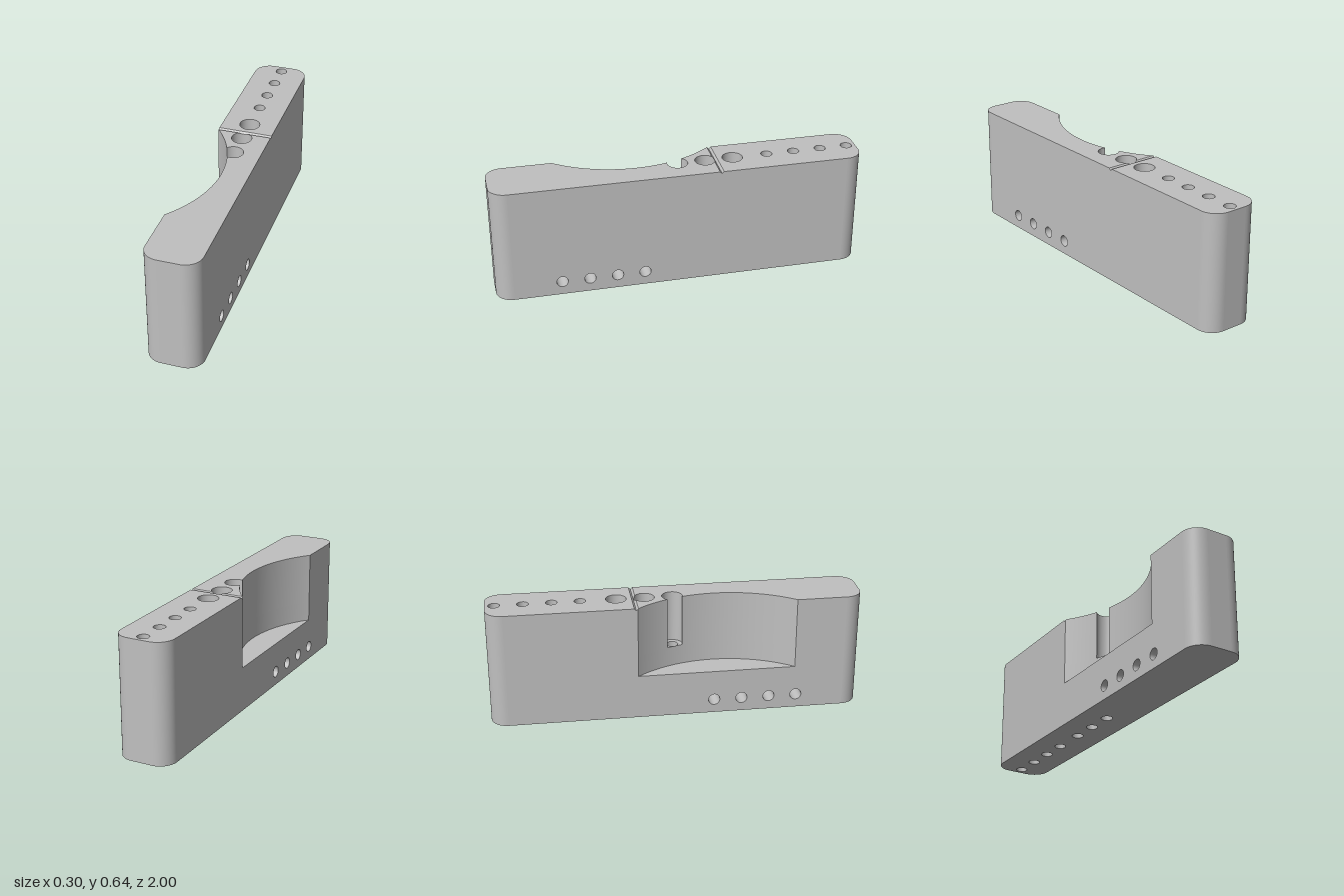
import * as THREE from 'three';
import { mergeVertices } from 'three/addons/utils/BufferGeometryUtils.js';

// Block size, corner radius and heights
const X = 0.148, H = 0.637, L = 1, R = 0.09;
const FLOOR = 0.245, BORE_Y = 0.355;
// V groove across the top
const GZ = -0.217, GW = 0.011;
const G0 = GZ - GW, G1 = GZ + GW;
// Curved side recess (an arc whose centre lies outside the block)
const RX = -0.662, RZ = 0.215, RR = 0.667, RA = Math.acos((-X - RX) / RR);
const RZ0 = RZ - RR * Math.sin(RA), RZ1 = RZ + RR * Math.sin(RA);
// Holes
const HOLE = 0.031, BORE = 0.055;
const PLAIN = [-0.95, -0.8, -0.65, -0.5], BORED = [-0.31, -0.16, -0.01];
const SIDE = [0.2, 0.35, 0.5, 0.65], SIDE_Y = 0.077;

const topY = (z) => H - Math.max(0, GW - Math.abs(z - GZ));

// Points [x, z] on an arc
function arc(cx, cz, r, a0, a1, n = 32) {
  return Array.from({ length: n + 1 }, (_, i) => {
    const a = a0 + ((a1 - a0) * i) / n;
    return [cx + r * Math.cos(a), cz + r * Math.sin(a)];
  });
}
const circle = (cx, cz, r) => arc(cx, cz, r, 0, Math.PI * 2, 40);

export function createModel() {
  const group = new THREE.Group();
  const grey = new THREE.MeshStandardMaterial({ color: 0xc0c0c0, side: THREE.DoubleSide });
  grey.name = 'plain grey';

  function add(name, geometry) {
    const mesh = new THREE.Mesh(geometry, grey);
    mesh.name = name;
    group.add(mesh);
  }

  // Flat face with holes; place() maps the drawing plane into space
  function face(name, points, holes, place) {
    const vec = (list) => list.map(([a, b]) => new THREE.Vector2(a, b));
    const shape = new THREE.Shape(vec(points));
    shape.holes = holes.map((h) => new THREE.Path(vec(h)));
    const geo = new THREE.ShapeGeometry(shape);
    const pos = geo.attributes.position;
    for (let i = 0; i < pos.count; i++) pos.setXYZ(i, ...place(pos.getX(i), pos.getY(i)));
    geo.computeVertexNormals();
    add(name, geo);
  }
  const flip = (list) => list.map(([x, z]) => [x, -z]);
  const upFace = (name, points, holes = [], y = topY) =>
    face(name, flip(points), holes.map(flip), (a, b) => [a, y(-b), -b]);

  // Upright wall following a path of [x, z] points, smooth along its length
  function wallGeometry(path, y0, y1) {
    const verts = [], index = [];
    path.forEach(([x, z], i) => {
      verts.push(x, y0, z, x, y1(z), z);
      const k = i * 2;
      if (i < path.length - 1) index.push(k, k + 2, k + 3, k, k + 3, k + 1);
    });
    let geo = new THREE.BufferGeometry();
    geo.setAttribute('position', new THREE.Float32BufferAttribute(verts, 3));
    geo.setIndex(index);
    geo = mergeVertices(geo, 1e-6);
    geo.computeVertexNormals();
    return geo;
  }
  const wall = (name, path, y0, y1) => add(name, wallGeometry(path, y0, y1));

  // Rounded corners, each running with the outside on its right-hand normal
  const q = Math.PI / 2, cx = X - R, cz = L - R;
  const frontLeft = arc(cx, cz, R, q, 0, 16);
  const backLeft = arc(cx, -cz, R, 0, -q, 16);
  const backRight = arc(-cx, -cz, R, -q, -2 * q, 16);
  const frontRight = arc(-cx, cz, R, 2 * q, q, 16);
  for (const c of [frontLeft, backLeft, backRight, frontRight]) wall('roundedCorner', c, 0, topY);
  wall('frontWall', [[-cx, L], [cx, L]], 0, topY);
  wall('backWall', [[cx, -L], [-cx, -L]], 0, topY);

  // Long side walls, notched by the groove and drilled near the base
  const notch = [[G1, H], [GZ, H - GW], [G0, H]];
  const sideHoles = SIDE.map((z) => circle(z, SIDE_Y, HOLE));
  face('leftWall', flipZ([[-cz, 0], [cz, 0], [cz, H], ...notch, [-cz, H]]),
    sideHoles.map(flipZ), (a, b) => [X, b, -a]);
  face('rightWall', [[-cz, 0], [cz, 0], [cz, H], [RZ1, H], [RZ1, FLOOR], [RZ0, FLOOR],
    [RZ0, topY(RZ0)], [GZ, H - GW], [G0, H], [-cz, H]], sideHoles, (a, b) => [-X, b, a]);
  for (const z of SIDE) {
    add('sideHole', wallGeometry(circle(SIDE_Y, z, HOLE), -X, () => X).rotateZ(Math.PI / 2));
  }

  // Underside
  face('underside', [...frontLeft, ...backLeft, ...backRight, ...frontRight],
    [...PLAIN, ...BORED].map((z) => circle(0, z, HOLE)), (a, b) => [a, 0, b]);

  // Where the last counterbore breaks into the recess
  const bz = BORED[2], dx = RX, dz = RZ - bz, d = Math.hypot(dx, dz);
  const toRecess = Math.atan2(dz, dx), toBore = Math.atan2(-dz, -dx);
  const alpha = Math.acos((d * d + BORE * BORE - RR * RR) / (2 * d * BORE));
  const beta = Math.acos((d * d + RR * RR - BORE * BORE) / (2 * d * RR));
  const openBore = arc(0, bz, BORE, toRecess + alpha - 2 * Math.PI, toRecess - alpha);
  const recessArc = (a0, a1, n) => arc(RX, RZ, RR, a0, a1, n);

  // Top face behind the groove
  upFace('rearTop', [[X, G0], ...backLeft, ...backRight, [-X, G0]],
    [...PLAIN.map((z) => circle(0, z, HOLE)), circle(0, BORED[0], BORE)]);

  // Groove slopes; the middle counterbore bites into the front one
  upFace('grooveRearSlope', [[-X, G0], [X, G0], [X, GZ], [-X, GZ]]);
  const bite = Math.asin((G1 - BORED[1]) / BORE);
  const startA = Math.asin((G1 - RZ) / RR);
  upFace('grooveFrontSlope', [[X, GZ], [X, G1], ...arc(0, BORED[1], BORE, bite, -Math.PI - bite, 16),
    ...recessArc(startA, -RA, 1), [-X, GZ]]);

  // Top face in front of the groove, cut by the recess and counterbores
  upFace('frontTop', [[X, G1], ...[...frontLeft].reverse(), ...[...frontRight].reverse(),
    ...recessArc(RA, toBore + beta, 40), ...[...openBore].reverse(),
    ...recessArc(toBore - beta, startA, 20),
    ...arc(0, BORED[1], BORE, Math.PI - bite, bite, 32)]);

  // Recess floor and wall, with the wall open beside the last counterbore
  const floor = () => FLOOR, bore = () => BORE_Y;
  upFace('recessFloor', recessArc(-RA, RA, 64), [], floor);
  wall('recessWallLower', recessArc(-RA, RA, 64), FLOOR, bore);
  wall('recessWallRear', recessArc(-RA, toBore - beta, 24), BORE_Y, topY);
  wall('recessWallFront', recessArc(toBore + beta, RA, 40), BORE_Y, topY);

  // Vertical holes and counterbores
  for (const z of PLAIN) wall('throughHole', circle(0, z, HOLE), 0, topY);
  BORED.forEach((z, i) => {
    const open = i === 2;
    const rim = open ? openBore : circle(0, z, BORE);
    const edge = open ? [...rim, ...recessArc(toBore + beta, toBore - beta, 12)] : rim;
    wall('boltHole', circle(0, z, HOLE), 0, bore);
    wall('counterbore', rim, BORE_Y, topY);
    upFace('counterboreFloor', edge, [circle(0, z, HOLE)], bore);
  });
  return group;
}

// Mirror [z, y] points for the opposite side
function flipZ(list) {
  return list.map(([z, y]) => [-z, y]);
}
